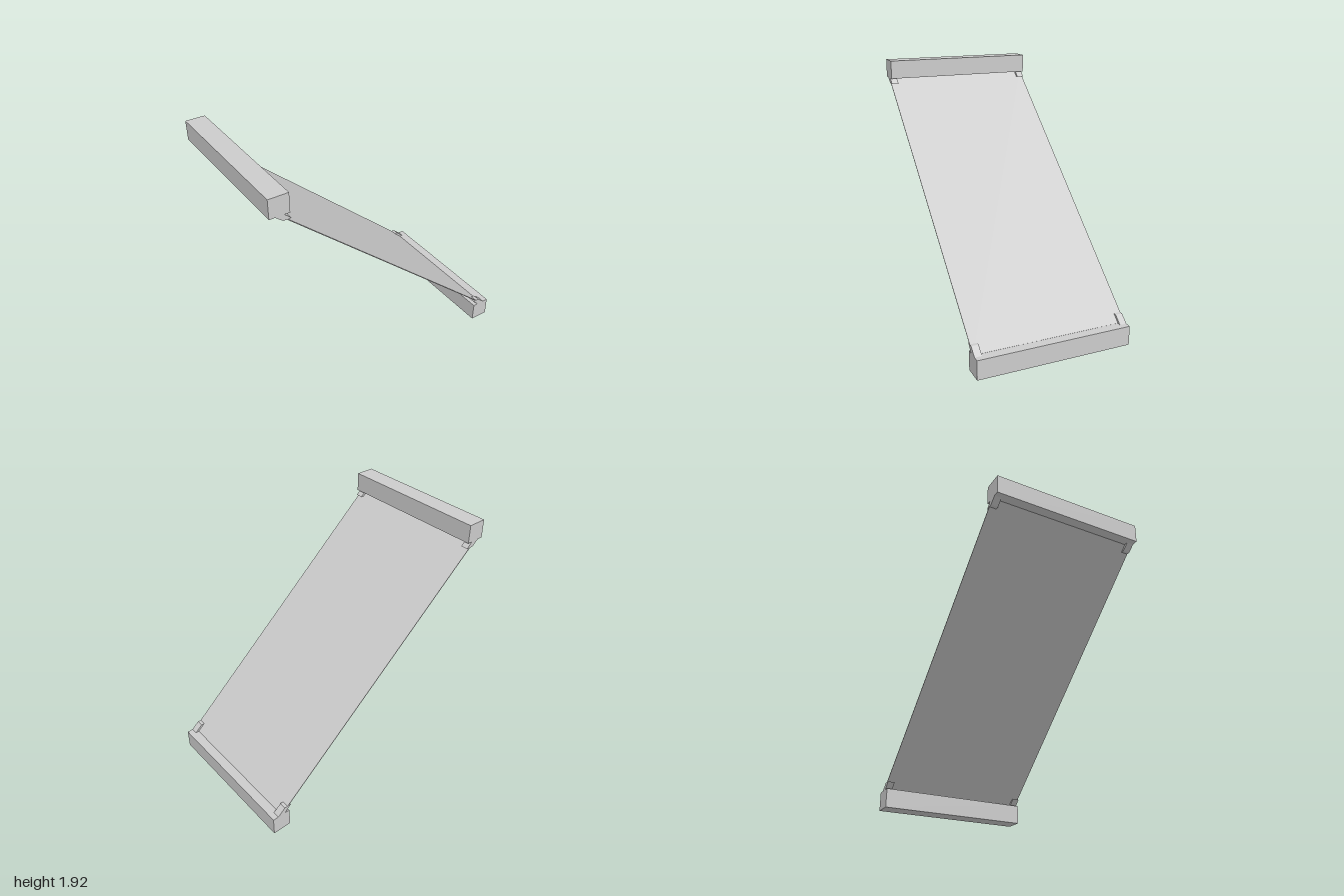
import * as THREE from 'three';

const WIDTH = 1.2; // depth of the model along z
const material = new THREE.MeshStandardMaterial({ color: 0xcccccc, flatShading: true });

// Extrude an x-y outline along z, centred on the given z
function prism(name, points, depth, z = 0) {
  const shape = new THREE.Shape(points.map(([x, y]) => new THREE.Vector2(x, y)));
  const geometry = new THREE.ExtrudeGeometry(shape, { depth, bevelEnabled: false });
  geometry.translate(0, 0, z - depth / 2);
  const mesh = new THREE.Mesh(geometry, material);
  mesh.name = name;
  return mesh;
}

// Square bar running the full width
function beam(name, x0, x1, y0, y1) {
  const mesh = new THREE.Mesh(new THREE.BoxGeometry(x1 - x0, y1 - y0, WIDTH), material);
  mesh.position.set((x0 + x1) / 2, (y0 + y1) / 2, 0);
  mesh.name = name;
  return mesh;
}

export function createModel() {
  const model = new THREE.Group();
  model.name = 'slopedPanel';

  // End beams
  model.add(beam('upperBeam', -1, -0.853, 1.78, 1.925));
  model.add(beam('lowerBeam', 0.853, 1, 0, 0.15));

  // Thin sheet stretched between the beams
  const t = 0.002;
  model.add(prism('sheet', [
    [-0.925 - t, 1.78 - t], [0.925 - t, 0.15 - t],
    [0.925 + t, 0.15 + t], [-0.925 + t, 1.78 + t],
  ], WIDTH));

  // Slanted clips gripping the sheet at its four corners
  const clipDepth = 0.055;
  for (const side of [1, -1]) {
    const z = side * (WIDTH - clipDepth) / 2;
    const label = side > 0 ? 'Front' : 'Back';
    model.add(prism('upperClip' + label,
      [[-0.958, 1.78], [-0.905, 1.737], [-0.847, 1.737], [-0.893, 1.78]], clipDepth, z));
    model.add(prism('lowerClip' + label,
      [[0.893, 0.15], [0.955, 0.15], [0.893, 0.204], [0.838, 0.204]], clipDepth, z));
  }
  return model;
}
